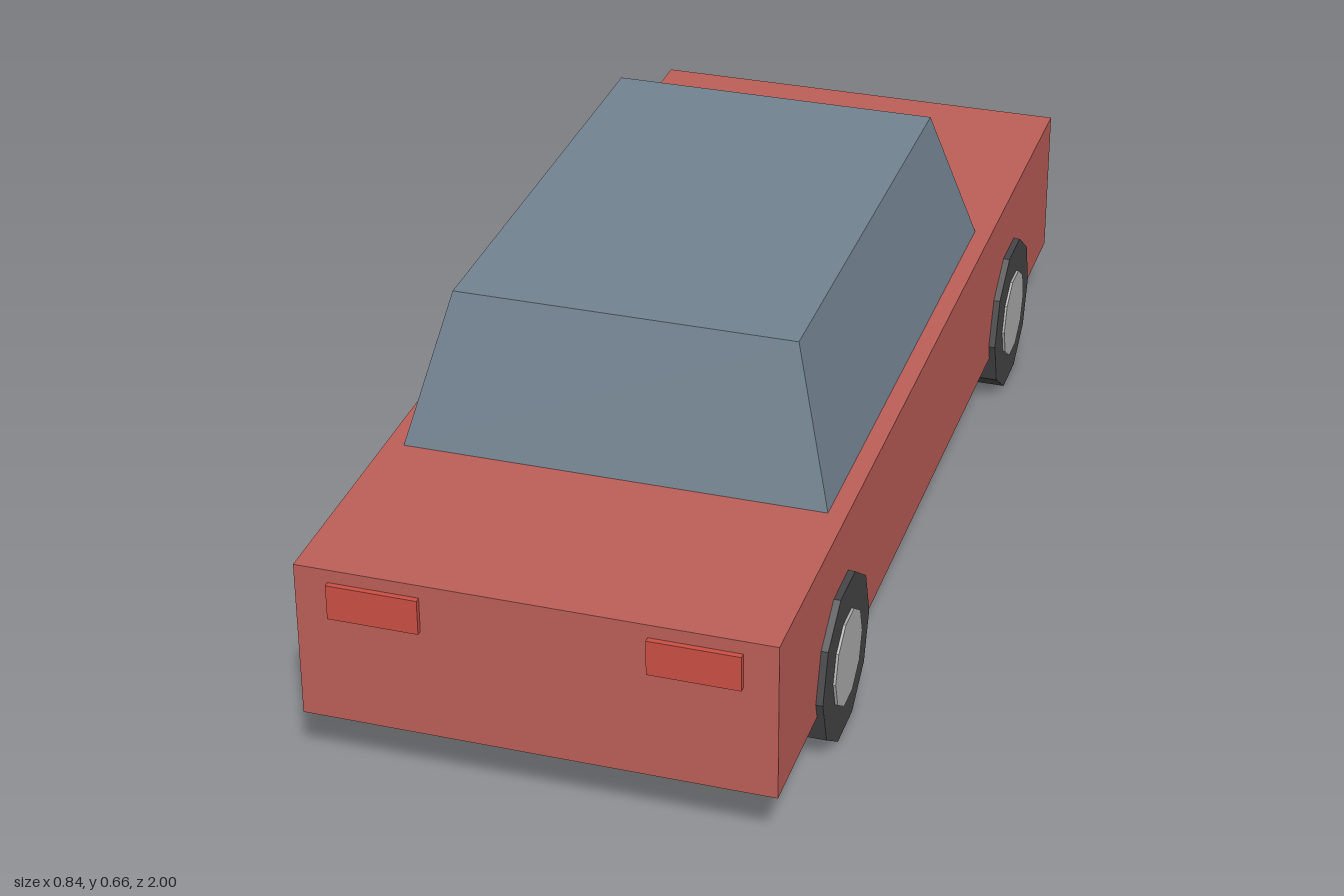
import * as THREE from 'three';

function material(name, color) {
  const m = new THREE.MeshStandardMaterial({ color });
  m.name = name;
  return m;
}

// Gives every face its own flat normal
function faceted(geometry) {
  const g = geometry.toNonIndexed();
  g.computeVertexNormals();
  return g;
}

export function createModel() {
  const car = new THREE.Group();
  car.name = 'car';

  const red = material('body red', 0xbc5e57);
  const glass = material('cabin blue grey', 0x728290);
  const rubber = material('tyre black', 0x454547);
  const metal = material('hub grey', 0xafaeaf);
  const lampRed = material('lamp red', 0xca4e42);
  const lampPale = material('lamp pale', 0xcac9ba);

  const add = (parent, name, geometry, mat, x = 0, y = 0, z = 0) => {
    const mesh = new THREE.Mesh(geometry, mat);
    mesh.name = name;
    mesh.position.set(x, y, z);
    parent.add(mesh);
    return mesh;
  };

  // Body: one plain box
  add(car, 'body', new THREE.BoxGeometry(0.804, 0.285, 1.98), red, 0, 0.2525, 0);

  // Cabin: a box whose top is drawn in on all four sides
  const cabin = new THREE.BoxGeometry(2, 0.27, 2);
  const p = cabin.attributes.position;
  for (let i = 0; i < p.count; i++) {
    const top = p.getY(i) > 0;
    p.setX(i, p.getX(i) * (top ? 0.298 : 0.37));
    p.setZ(i, p.getZ(i) > 0 ? (top ? 0.524 : 0.594) : (top ? -0.362 : -0.456));
  }
  add(car, 'cabin', faceted(cabin), glass, 0, 0.53, 0);

  // Wheels: ten-sided tyres with a hub passing through
  const disc = (r, width) => faceted(new THREE.CylinderGeometry(r, r, width, 10).rotateZ(Math.PI / 2));
  const tyre = disc(0.1475, 0.11);
  const hub = disc(0.085, 0.119);
  for (const side of [1, -1]) {
    for (const end of [1, -1]) {
      const wheel = new THREE.Group();
      wheel.name = `${end > 0 ? 'front' : 'rear'}${side > 0 ? 'Left' : 'Right'}Wheel`;
      wheel.position.set(side * 0.359, 0.1403, end * 0.623);
      add(wheel, 'tyre', tyre, rubber);
      add(wheel, 'hub', hub, metal);
      car.add(wheel);
    }
  }

  // Lamps: thin blocks on both ends
  const lamp = new THREE.BoxGeometry(0.155, 0.063, 0.02);
  for (const side of [1, -1]) {
    const label = side > 0 ? 'Left' : 'Right';
    add(car, `front${label}Lamp`, lamp, lampRed, side * 0.267, 0.34, 0.99);
    add(car, `rear${label}Lamp`, lamp, lampPale, side * 0.267, 0.34, -0.99);
  }

  return car;
}
